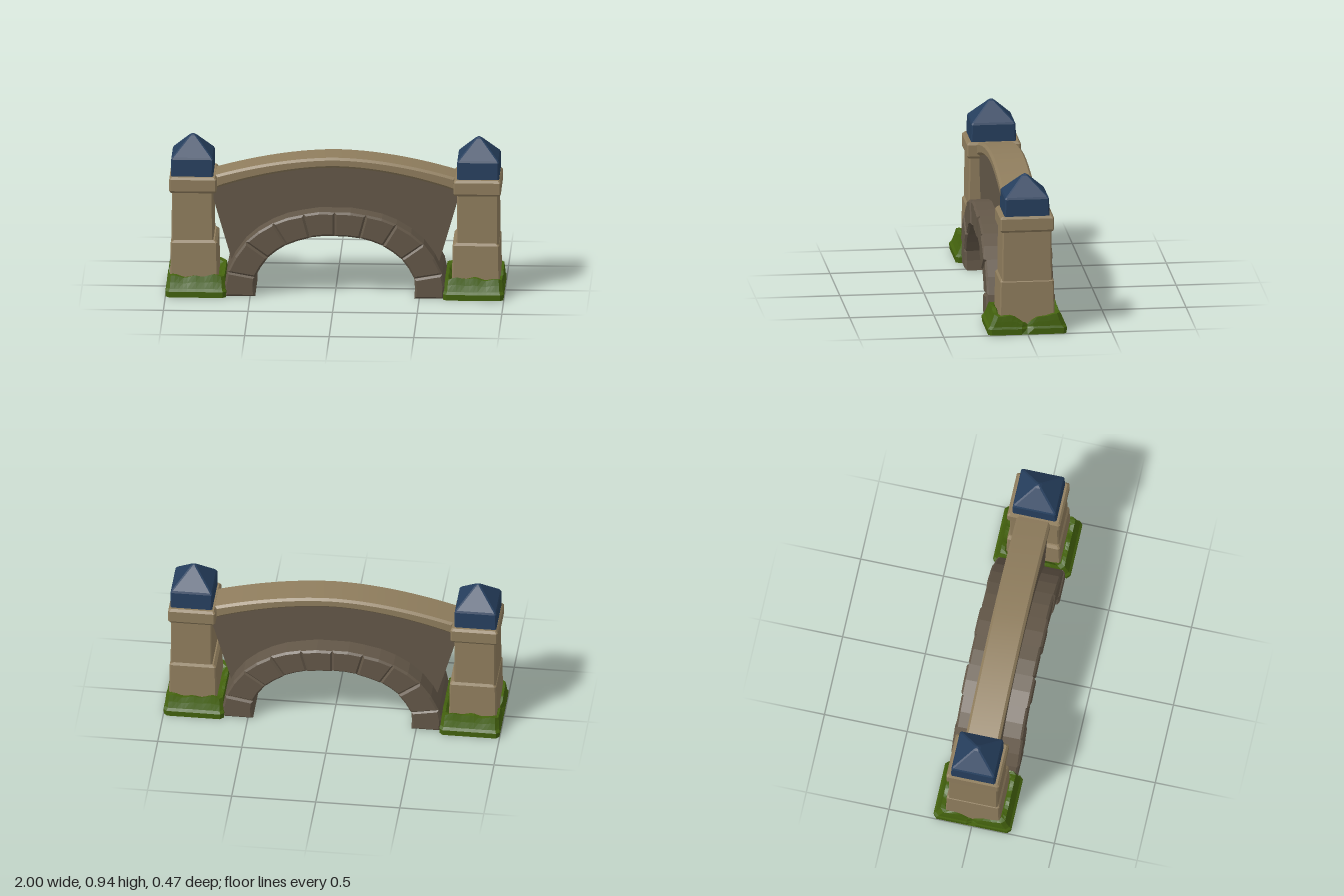
import * as THREE from 'three';
import { toCreasedNormals } from 'three/addons/utils/BufferGeometryUtils.js';

const mat = (name, color) => {
  const m = new THREE.MeshStandardMaterial({ color });
  m.name = name;
  return m;
};

// Skin a stack of closed loops (counter-clockwise from above) and cap both ends
function loft(loops) {
  const pos = [];
  const tri = (...pts) => pts.forEach((p) => pos.push(p.x, p.y, p.z));
  const n = loops[0].length;
  const centre = (loop) => loop.reduce((s, p) => s.add(p), new THREE.Vector3()).divideScalar(n);
  const low = loops[0], high = loops[loops.length - 1];
  const cLow = centre(low), cHigh = centre(high);
  for (let i = 0; i < n; i++) {
    const j = (i + 1) % n;
    for (let k = 0; k + 1 < loops.length; k++) {
      const a = loops[k], b = loops[k + 1];
      tri(a[i], a[j], b[j]);
      tri(a[i], b[j], b[i]);
    }
    tri(cLow, low[j], low[i]);
    tri(cHigh, high[i], high[j]);
  }
  const g = new THREE.BufferGeometry();
  g.setAttribute('position', new THREE.Float32BufferAttribute(pos, 3));
  g.computeVertexNormals();
  return g;
}

// Rectangle with cut corners, each long side divided into steps
function rectLoop(y, hx, hz, cut, steps = 1) {
  const c = Math.min(cut, hx * 0.5, hz * 0.5);
  const corners = [
    [hx, hz - c], [hx, -hz + c], [hx - c, -hz], [-hx + c, -hz],
    [-hx, -hz + c], [-hx, hz - c], [-hx + c, hz], [hx - c, hz],
  ];
  const out = [];
  corners.forEach(([x, z], i) => {
    const [x2, z2] = corners[(i + 1) % 8];
    const s = i % 2 ? 1 : steps;
    for (let k = 0; k < s; k++) {
      out.push(new THREE.Vector3(x + (x2 - x) * k / s, y, z + (z2 - z) * k / s));
    }
  });
  return out;
}
const block = (rings, cut = 0.008) => loft(rings.map(([y, hx, hz]) => rectLoop(y, hx, hz, cut)));

// Extruded side profile centred on z = 0, with chamfered rims inside the outline
function slab(points, halfDepth, bevel) {
  const g = new THREE.ExtrudeGeometry(new THREE.Shape(points), {
    depth: 2 * (halfDepth - bevel), bevelEnabled: bevel > 0, bevelSegments: 1,
    bevelSize: bevel, bevelThickness: bevel, bevelOffset: -bevel,
  });
  g.translate(0, 0, -(halfDepth - bevel));
  return g;
}

// Uneven clump around a pillar foot, with a notch in the outer end
function mossGeometry() {
  const rings = [[0, 0.178, 0.233, 0], [0.035, 0.18, 0.235, 0], [0.05, 0.174, 0.222, 0.1],
    [0.085, 0.172, 0.207, 0.5], [0.122, 0.168, 0.195, 1], [0.118, 0.15, 0.172, 1], [0.09, 0.13, 0.145, 0]];
  return loft(rings.map(([y, hx, hz, wobble]) => rectLoop(y, hx, hz, 0.02, 12).map((p) => {
    const end = p.x > hx - 0.01;
    p.y += wobble * (0.006 * Math.sin(p.x * 55 + 1) + 0.006 * Math.sin(p.z * 47 + p.x * 20));
    if (end) {
      const notch = Math.exp(-Math.pow(p.z / 0.05, 2));
      p.y -= wobble * (0.04 * notch + 0.012 * (1 - Math.abs(p.z) / hz));
      if (y > 0) p.x -= 0.016 * Math.exp(-Math.pow(p.z / 0.015, 2));
    }
    return p;
  })));
}

export function createModel() {
  const tan = mat('tan stone', 0x8f7d5d);
  const stone = mat('dark stone', 0x635748);
  const blue = mat('blue roof', 0x263f5e);
  const green = mat('moss green', 0x44630e);
  const model = new THREE.Group();
  model.name = 'archBridge';
  const add = (parent, name, geometry, material) => {
    const m = new THREE.Mesh(geometry, material);
    m.name = name;
    parent.add(m);
    return m;
  };
  const v = (x, y) => new THREE.Vector2(x, y);

  // Arch joints from the right foot to the crown, mirrored to the other foot
  const innerHalf = [[0.47, 0], [0.47, 0.12], [0.395, 0.24], [0.285, 0.32], [0.148, 0.366], [0, 0.378]];
  const outerHalf = [[0.645, 0], [0.635, 0.15], [0.525, 0.335], [0.365, 0.452], [0.185, 0.508], [0, 0.523]];
  const both = (half) => [...half, ...half.slice(0, -1).reverse().map(([x, y]) => [-x, y])].map(([x, y]) => v(x, y));
  const inner = both(innerHalf), outer = both(outerHalf);

  // Arch stones, with a slightly swollen outer edge
  const arch = new THREE.Group();
  arch.name = 'archRing';
  model.add(arch);
  for (let i = 0; i + 1 < inner.length; i++) {
    const swell = (a, b, s) => a.clone().add(b).multiplyScalar(0.5 * s);
    const pts = [inner[i], outer[i], swell(outer[i], outer[i + 1], 1.015), outer[i + 1],
      inner[i + 1], swell(inner[i], inner[i + 1], 1.01)];
    add(arch, 'archStone', slab(pts, i % 2 ? 0.2 : 0.206, 0.012), stone);
  }

  // Curved line of the parapet
  const rise = (x) => 1 - Math.pow(Math.abs(x) / 0.71, 1.8);
  const line = (end, base, height) => Array.from({ length: 29 }, (_, i) => {
    const x = end * (1 - i / 14);
    return v(x, base + height * rise(x));
  });

  // Spandrel wall standing on the arch ring
  const mid = inner.map((p, i) => p.clone().add(outer[i]).multiplyScalar(0.5));
  add(model, 'spandrelWall', slab([...line(0.74, 0.645, 0.135), ...mid.slice().reverse()], 0.085, 0), stone);

  // Coping along the top of the wall
  const coping = slab([...line(0.71, 0.715, 0.115), ...line(0.71, 0.635, 0.133).reverse()], 0.102, 0.014);
  add(model, 'coping', toCreasedNormals(coping, 0.4), tan);

  // Two end pillars, the second turned half round
  for (const turn of [0, Math.PI]) {
    const end = new THREE.Group();
    end.name = turn ? 'rightPillar' : 'leftPillar';
    end.rotation.y = turn;
    model.add(end);
    const part = (name, geometry, material, x = 0.84) => {
      add(end, name, geometry, material).position.x = x;
    };
    part('pillarBase', block([[0.01, 0.143, 0.167], [0.315, 0.138, 0.159], [0.332, 0.122, 0.148]]), tan, 0.833);
    part('pillarShaft', block([[0.32, 0.124, 0.149], [0.63, 0.121, 0.146]]), tan, 0.843);
    part('pillarCap', block([[0.62, 0.133, 0.152], [0.633, 0.14, 0.16], [0.702, 0.14, 0.16], [0.716, 0.13, 0.148]]), tan);
    part('pillarRoof', block([[0.712, 0.124, 0.134], [0.818, 0.124, 0.131], [0.83, 0.118, 0.125],
      [0.935, 0.02, 0.02], [0.945, 0.006, 0.006]]), blue, 0.845);
    part('moss', mossGeometry(), green, 0.82);
  }
  return model;
}
